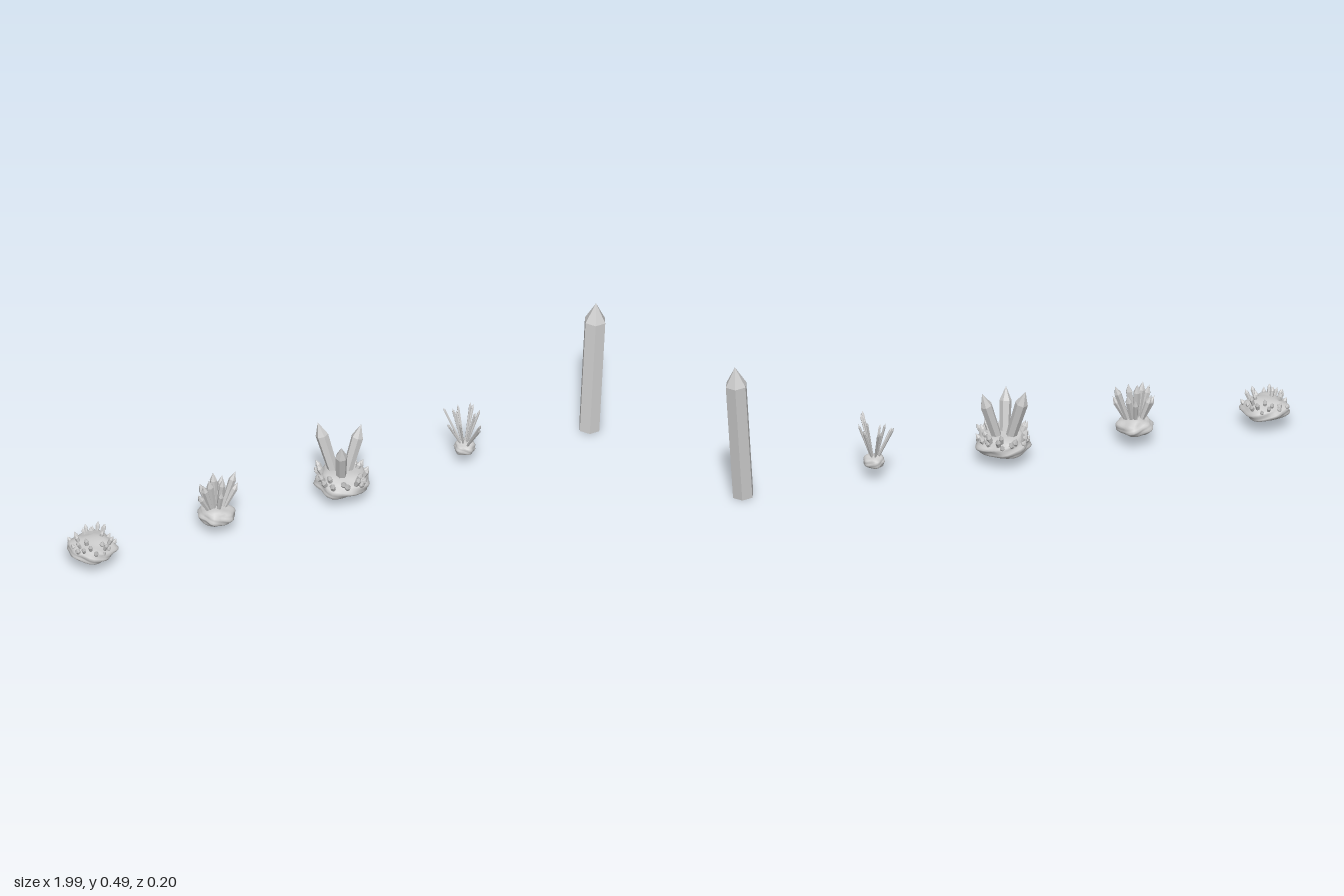
import * as THREE from 'three';
import { mergeVertices } from 'three/addons/utils/BufferGeometryUtils.js';

const smooth = new THREE.MeshStandardMaterial({ color: 0xcccccc });
const faceted = new THREE.MeshStandardMaterial({ color: 0xcccccc, flatShading: true });
const V = (x, y, z) => new THREE.Vector3(x, y, z);

function seeded(seed) {
  let s = seed;
  return () => (s = (s * 16807) % 2147483647) / 2147483647;
}

// Six-sided crystal from a base point to a tip, slightly wider at the shoulder
function crystal(name, base, tip, r, { taper = 0.8, point = 1.8, twist = 0 } = {}) {
  const axis = tip.clone().sub(base);
  const h = axis.length();
  const profile = [[0, 0], [r * taper, 0], [r, Math.max(h - r * point, h * 0.4)], [0, h]]
    .map(([x, y]) => new THREE.Vector2(x, y));
  const mesh = new THREE.Mesh(new THREE.LatheGeometry(profile, 6, twist), faceted);
  mesh.name = name;
  mesh.position.copy(base);
  mesh.quaternion.setFromUnitVectors(V(0, 1, 0), axis.normalize());
  return mesh;
}

// Point on a lumpy, flat-bottomed pebble for a unit direction
function rockPoint(d, R, top, bottom, seed) {
  const lump = 1 + 0.06 * Math.sin(5 * d.x + 3 * d.z + seed) + 0.05 * Math.sin(7 * d.z - 4 * d.x + 2 * seed)
    + 0.04 * Math.sin(9 * d.y + 6 * d.x + seed * 3);
  const spread = R * lump * Math.pow(Math.max(1 - d.y * d.y, 1e-6), -0.12);
  const y = d.y > 0 ? d.y * top * lump : Math.max(d.y * 1.5, -1) * bottom * (0.92 + 0.08 * lump);
  return V(d.x * spread, y, d.z * spread);
}

function rock(R, top, bottom, seed) {
  let geo = new THREE.IcosahedronGeometry(1, 5);
  geo.deleteAttribute('uv');
  geo.deleteAttribute('normal');
  geo = mergeVertices(geo, 1e-4);
  const p = geo.attributes.position;
  for (let i = 0; i < p.count; i++) {
    const q = rockPoint(V(0, 0, 0).fromBufferAttribute(p, i).normalize(), R, top, bottom, seed);
    p.setXYZ(i, q.x, q.y, q.z);
  }
  geo.computeVertexNormals();
  const mesh = new THREE.Mesh(geo, smooth);
  mesh.name = 'rockBase';
  return mesh;
}

// Small crystals spread in a golden-angle spiral over the rock
function studs(group, count, tMin, tMax, R, top, bottom, seed, size) {
  const rnd = seeded(seed * 977 + 13);
  for (let i = 0; i < count; i++) {
    const t = tMin + (tMax - tMin) * Math.sqrt((i + 0.5) / count);
    const a = i * 2.39996 + rnd() * 0.4;
    const d = V(Math.sin(t) * Math.cos(a), Math.cos(t), Math.sin(t) * Math.sin(a));
    const base = rockPoint(d, R, top, bottom, seed).multiplyScalar(0.86);
    const lean = V(d.x * 0.55, 0.9, d.z * 0.55).normalize();
    const len = size * (0.7 + 0.6 * rnd());
    group.add(crystal('smallCrystal', base, base.clone().addScaledVector(lean, len),
      size * (0.2 + 0.06 * rnd()), { twist: rnd() * 3 }));
  }
}

function cluster(name, x, y, z) {
  const g = new THREE.Group();
  g.name = name;
  g.position.set(x, y, z);
  return g;
}

export function createModel() {
  const model = new THREE.Group();
  model.name = 'crystalSet';

  // Low rock covered with stubby crystals
  const studded = cluster('studdedCluster', -0.915, 0.066, -0.01);
  studded.add(rock(0.079, 0.036, 0.02, 1));
  studs(studded, 26, 0.15, 1.4, 0.079, 0.036, 0.02, 1, 0.034);
  model.add(studded);

  // Bushy cluster: tip x, y, z and radius
  const bushy = cluster('bushyCluster', -0.457, 0.066, -0.01);
  bushy.add(rock(0.06, 0.034, 0.02, 2));
  [
    [-0.07, 0.1, 0.005, 0.011], [-0.048, 0.12, -0.03, 0.012], [-0.032, 0.155, 0.012, 0.013],
    [-0.003, 0.16, -0.018, 0.013], [0.018, 0.15, 0.018, 0.012], [0.036, 0.13, -0.03, 0.012],
    [0.07, 0.155, 0.002, 0.013], [0.075, 0.115, 0.012, 0.011], [-0.055, 0.14, 0.012, 0.012],
    [0.005, 0.11, 0.035, 0.01], [0.012, 0.115, -0.045, 0.01],
  ].forEach(([x, y, z, r], i) =>
    bushy.add(crystal('crystal', V(x * 0.25, 0.005, z * 0.3), V(x, y, z), r, { taper: 0.65, twist: i, point: 2.3 })));
  model.add(bushy);

  // Three large crystals ringed by small ones
  const triple = cluster('tripleCluster', 0.005, 0.066, -0.008);
  triple.add(rock(0.09, 0.042, 0.024, 3));
  [
    [-0.055, 0.213, -0.067, 0.022], [0.081, 0.199, -0.012, 0.021], [-0.027, 0.181, 0.062, 0.021],
  ].forEach(([x, y, z, r], i) =>
    triple.add(crystal('largeCrystal', V(x * 0.2, 0, z * 0.2), V(x, y, z), r, { taper: 0.8, twist: i * 0.7, point: 2.3 })));
  studs(triple, 26, 0.65, 1.4, 0.09, 0.042, 0.024, 3, 0.042);
  model.add(triple);

  // Spray of thin needles on a pebble
  const spray = cluster('needleCluster', 0.463, 0.066, -0.008);
  spray.add(rock(0.036, 0.023, 0.016, 4));
  [
    [0.007, 0.138, 0.113], [0.02, 0.139, 0.09], [-0.065, 0.115, 0.004], [-0.052, 0.14, -0.055],
    [-0.03, 0.148, -0.03], [0.006, 0.13, -0.066], [0.034, 0.158, -0.022], [0.052, 0.135, -0.04],
    [0.054, 0.14, 0.008], [-0.03, 0.12, 0.028], [0.028, 0.15, 0.028], [-0.01, 0.125, -0.045],
  ].forEach(([x, y, z], i) =>
    spray.add(crystal('needle', V(x * 0.12, 0.005, z * 0.12), V(x, y, z), 0.0045, { taper: 0.8, twist: i, point: 3 })));
  model.add(spray);

  // Single tall leaning crystal
  model.add(crystal('tallCrystal', V(0.925, 0.003, -0.005), V(0.962, 0.493, -0.03), 0.0385,
    { taper: 0.98, point: 1.75, twist: 0.66 }));

  return model;
}
